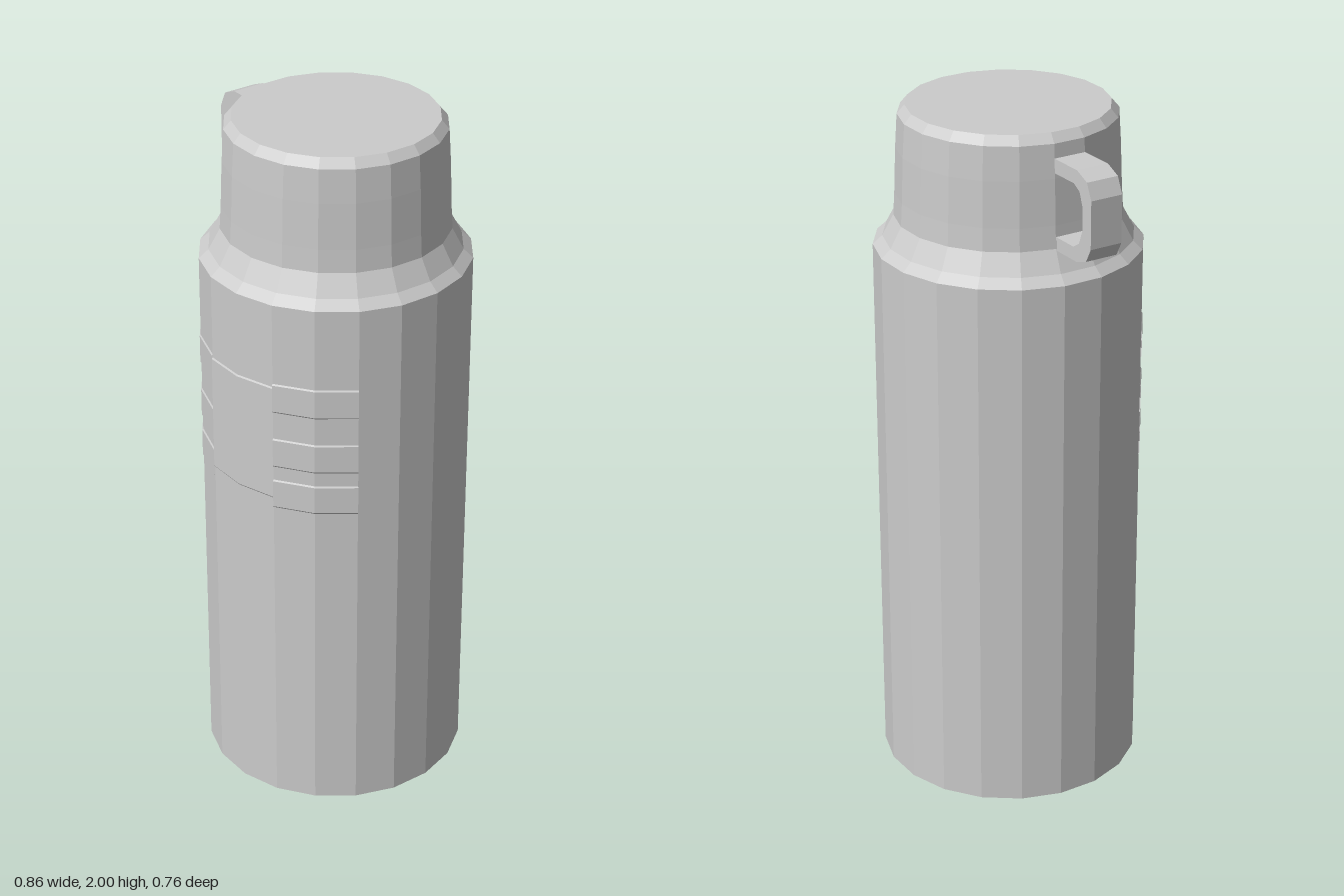
import * as THREE from 'three';

const SIDES = 20;
const STEP = (Math.PI * 2) / SIDES;
const RADIUS = 0.378;
const AXIS_X = 0.05;

const material = new THREE.MeshStandardMaterial({ color: 0xcccccc, flatShading: true });
const thinMaterial = new THREE.MeshStandardMaterial({
  color: 0xcccccc, flatShading: true, side: THREE.DoubleSide,
});

const toPoints = (pairs) => pairs.map(([x, y]) => new THREE.Vector2(x, y));

function lathe(name, profile) {
  const mesh = new THREE.Mesh(new THREE.LatheGeometry(toPoints(profile), SIDES), material);
  mesh.name = name;
  return mesh;
}

// Slightly raised band that follows the facets of the body
function reliefPatch(name, firstFacet, facets, bottom, top, lift) {
  const r = RADIUS + lift;
  const profile = toPoints([[RADIUS - 0.004, bottom], [r, bottom + 0.01], [r, top - 0.01], [RADIUS - 0.004, top]]);
  const geometry = new THREE.LatheGeometry(profile, facets, firstFacet * STEP, facets * STEP);
  const mesh = new THREE.Mesh(geometry, thinMaterial);
  mesh.name = name;
  return mesh;
}

export function createModel() {
  const model = new THREE.Group();
  model.name = 'vacuumFlask';
  const flask = new THREE.Group();
  flask.name = 'flask';
  flask.position.x = AXIS_X;
  model.add(flask);

  // Straight body
  flask.add(lathe('body', [[0, 0], [RADIUS, 0], [RADIUS, 1.6], [0, 1.6]]));

  // Cup lid with flared shoulder and bevelled top
  flask.add(lathe('cupLid', [
    [RADIUS, 1.6], [0.351, 1.625], [0.319, 1.685], [0.315, 1.75],
    [0.31, 1.88], [0.304, 1.975], [0.283, 2], [0, 2],
  ]));

  // Plain low relief on the front: a centre panel with three bars per side
  flask.add(reliefPatch('frontPanel', -1, 2, 1.0, 1.36, 0.003));
  for (const y of [0.97, 1.1, 1.27]) {
    flask.add(reliefPatch('leftBar', 1, 2, y, y + 0.1, 0.003));
    flask.add(reliefPatch('rightBar', -3, 2, y, y + 0.1, 0.003));
  }

  // Cup handle: C-shaped section, as wide as one facet of the cup
  const section = new THREE.Shape(toPoints([
    [0.285, 1.68], [0.41, 1.68], [0.456, 1.695], [0.477, 1.735],
    [0.477, 1.87], [0.456, 1.915], [0.41, 1.935], [0.285, 1.935],
    [0.285, 1.895], [0.395, 1.895], [0.422, 1.88], [0.437, 1.84],
    [0.437, 1.775], [0.422, 1.735], [0.395, 1.718], [0.285, 1.718],
  ]));
  const width = 0.097;
  const geometry = new THREE.ExtrudeGeometry(section, { depth: width, bevelEnabled: false });
  geometry.translate(0, 0, -width / 2);
  const handle = new THREE.Mesh(geometry, material);
  handle.name = 'cupHandle';
  handle.rotation.y = Math.PI - STEP / 2;
  flask.add(handle);

  return model;
}
